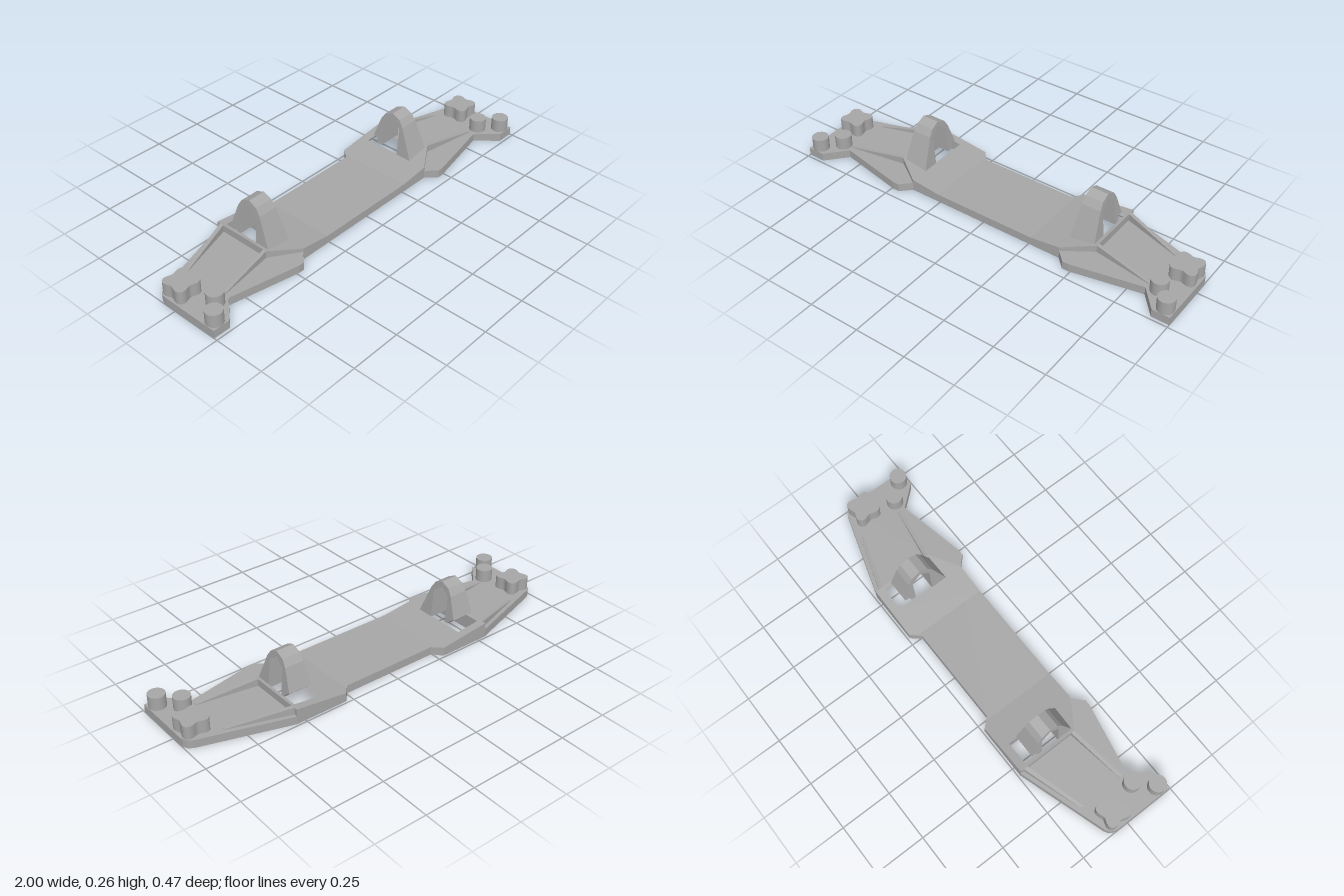
import * as THREE from 'three';

const grey = new THREE.MeshStandardMaterial({ color: 0xa6a6a6 });
grey.name = 'plain grey';

const BASE = 0.04, RIDGE = 0.075, PEG_TOP = 0.103;

// Closed outline from [x, z] points, ready to be laid flat
const outline = (pts, s = 1) => pts.map(([x, z]) => new THREE.Vector2(x * s, -z));

// Upright slab over a plan outline; topAt gives the height of the top at each |x|
function slab(name, pts, holes, bottom, topAt) {
  const shape = new THREE.Shape(pts);
  for (const h of holes) shape.holes.push(new THREE.Path(h));
  const geo = new THREE.ExtrudeGeometry(shape, { depth: 1, bevelEnabled: false });
  geo.rotateX(-Math.PI / 2);
  const p = geo.attributes.position;
  for (let i = 0; i < p.count; i++) {
    p.setY(i, p.getY(i) > 0.5 ? topAt(Math.abs(p.getX(i))) : bottom);
  }
  geo.computeVertexNormals();
  const mesh = new THREE.Mesh(geo, grey);
  mesh.name = name;
  return mesh;
}

// Hoop drawn in side profile, narrowing towards its top
function archMesh(x) {
  const profile = [
    [0.068, 0.055], [0.06, 0.075], [0.005, 0.21], [-0.018, 0.243], [-0.06, 0.262],
    [-0.105, 0.243], [-0.126, 0.21], [-0.163, 0.103], [-0.138, 0.103], [-0.136, 0.085],
    [-0.128, 0.072], [-0.107, 0.072], [-0.107, 0.2], [-0.06, 0.238], [-0.013, 0.2], [-0.013, 0.055],
  ];
  const shape = new THREE.Shape(profile.map(([z, y]) => new THREE.Vector2(z, y)));
  const geo = new THREE.ExtrudeGeometry(shape, { depth: 1, bevelEnabled: false });
  geo.translate(0, 0, -0.5).rotateY(-Math.PI / 2);
  const p = geo.attributes.position;
  for (let i = 0; i < p.count; i++) {
    const t = (p.getY(i) - 0.07) / 0.19;
    p.setX(i, p.getX(i) * (0.122 - 0.036 * t));
  }
  geo.computeVertexNormals();
  const mesh = new THREE.Mesh(geo, grey);
  mesh.name = 'arch';
  mesh.position.x = x;
  return mesh;
}

function roundPeg(x, z) {
  const h = PEG_TOP - BASE;
  const mesh = new THREE.Mesh(new THREE.CylinderGeometry(0.04, 0.04, h, 32), grey);
  mesh.name = 'roundPeg';
  mesh.position.set(x, BASE + h / 2, z);
  return mesh;
}

// Four-lobed peg, lobes on the diagonals
function lobedPeg(x, z) {
  const pts = [];
  for (let i = 0; i < 48; i++) {
    const a = (i / 48) * Math.PI * 2, r = 0.065 - 0.013 * Math.cos(4 * a);
    pts.push(new THREE.Vector2(x + r * Math.cos(a), -z + r * Math.sin(a)));
  }
  return slab('lobedPeg', pts, [], BASE, () => PEG_TOP);
}

export function createModel() {
  const model = new THREE.Group();
  model.name = 'mountingBar';

  // Base plate, with a pocket under each arch
  const half = [
    [0.245, -0.195], [0.285, -0.24], [0.545, -0.24], [0.965, -0.107], [0.985, -0.095], [0.997, -0.075],
    [1, -0.05], [1, 0.235], [0.915, 0.235], [0.828, 0.135], [0.49, 0.204], [0.46, 0.204], [0.41, 0.155],
  ];
  const pocket = [[0.41, -0.215], [0.53, -0.215], [0.53, 0.068], [0.41, 0.145]];
  const mirrored = half.map(([x, z]) => [-x, z]).reverse();
  model.add(slab('basePlate', outline([...half, ...mirrored]),
    [outline(pocket), outline(pocket, -1)], 0, () => BASE));

  const ramp = [[0.26, -0.212], [0.285, -0.24], [0.545, -0.24], [0.545, 0.065], [0.41, 0.155], [0.26, 0.155]];
  const window_ = [[0.41, -0.2], [0.529, -0.2], [0.529, 0.06], [0.41, 0.06]];
  const rails = {
    backRail: [[0.545, -0.222], [0.545, -0.202], [0.83, -0.112], [0.83, -0.128]],
    frontRail: [[0.545, 0.047], [0.545, 0.065], [0.83, 0.11], [0.83, 0.093]],
  };

  for (const s of [1, -1]) {
    const end = new THREE.Group();
    end.name = s > 0 ? 'leftEnd' : 'rightEnd';
    // Ramp rising outwards to the ridge, pierced below the arch
    end.add(slab('ramp', outline(ramp, s), [outline(window_, s)], BASE,
      (x) => BASE + (RIDGE - BASE) * (x - 0.26) / 0.285));
    // Tapering rails running out from the ridge
    for (const [name, pts] of Object.entries(rails)) {
      end.add(slab(name, outline(pts, s), [], BASE,
        (x) => RIDGE - (RIDGE - BASE - 0.003) * (x - 0.545) / 0.285));
    }
    end.add(archMesh(s * 0.469));
    end.add(roundPeg(s * 0.958, 0.195), roundPeg(s * 0.882, 0.116));
    end.add(lobedPeg(s * 0.929, -0.033));
    model.add(end);
  }
  return model;
}
